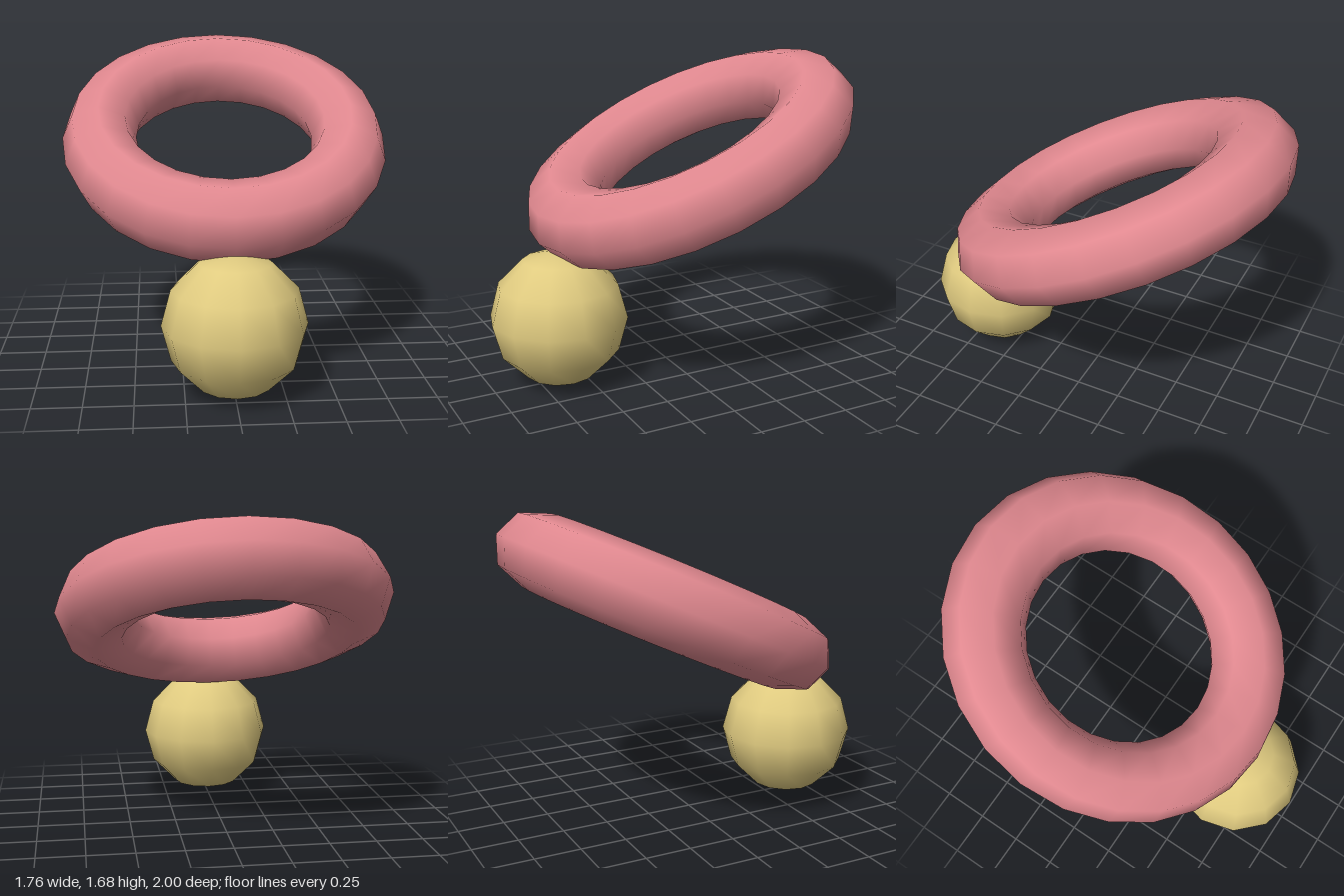
import * as THREE from 'three';

export function createModel() {
  const model = new THREE.Group();
  const pink = new THREE.MeshStandardMaterial({ name: 'pink', color: 0xe0888f });
  const gold = new THREE.MeshStandardMaterial({ name: 'gold', color: 0xe0cb80 });

  const add = (name, geometry, material, x, y, z) => {
    const mesh = new THREE.Mesh(geometry, material);
    mesh.name = name;
    mesh.position.set(x, y, z);
    model.add(mesh);
    return mesh;
  };

  // Ball at the front, resting on the ground
  add('ball', new THREE.SphereGeometry(0.365, 12, 6), gold, 0, 0.367, 0.635);

  // Slightly oval ring, leaning forward onto the ball
  const ring = add('ring', new THREE.TorusGeometry(0.68, 0.2, 8, 24), pink, 0, 1.18, -0.135);
  ring.scale.set(1, 1.087, 1);
  ring.rotation.x = THREE.MathUtils.degToRad(-65);

  return model;
}
